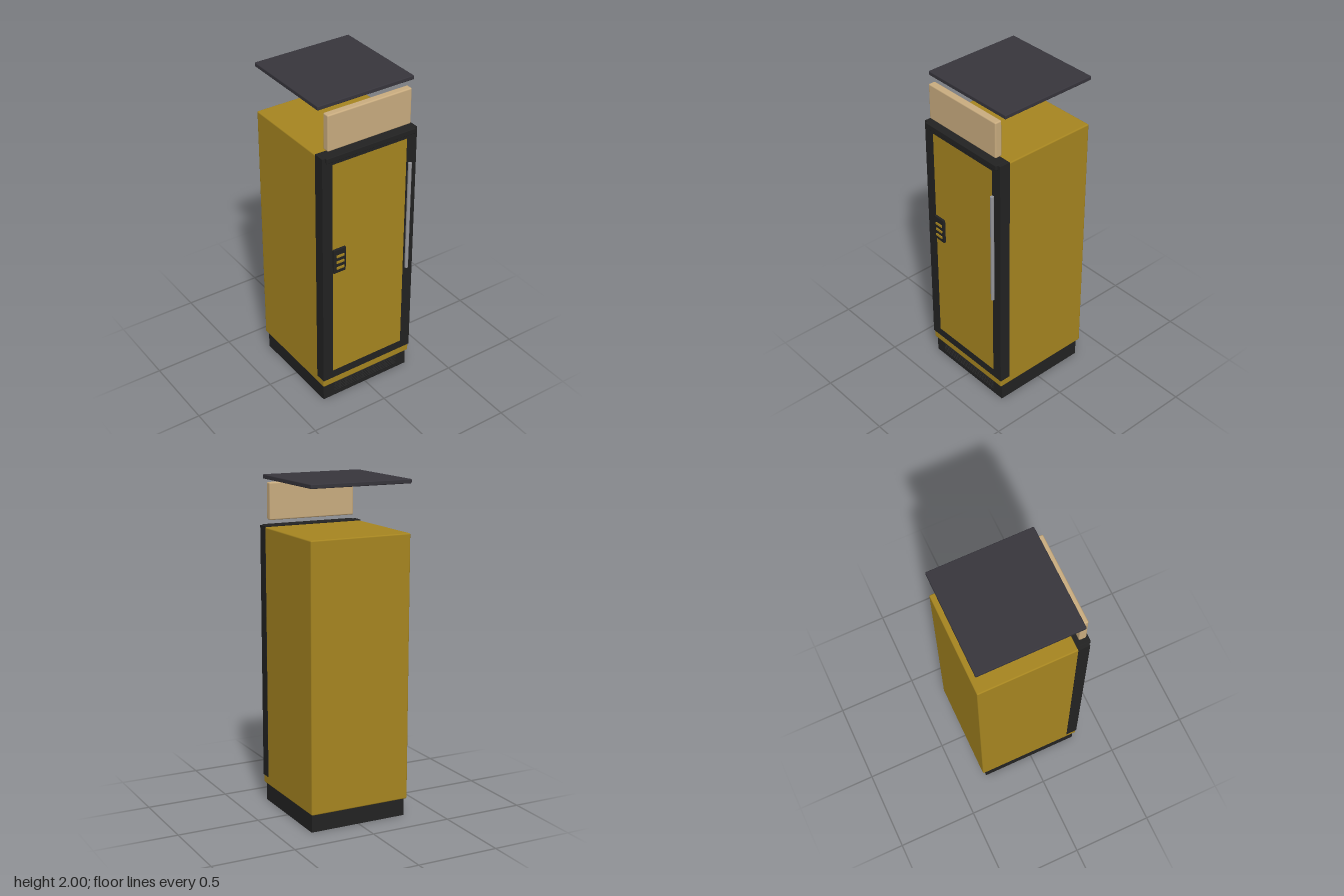
import * as THREE from 'three';
import { RoundedBoxGeometry } from 'three/addons/geometries/RoundedBoxGeometry.js';

const mat = (name, color) => {
  const m = new THREE.MeshStandardMaterial({ color });
  m.name = name;
  return m;
};

export function createModel() {
  const gold = mat('gold enamel', 0xa68520);
  const black = mat('black trim', 0x222222);
  const slate = mat('slate top', 0x37353c);
  const wood = mat('light wood', 0xc9ac7f);
  const steel = mat('brushed steel', 0x949498);

  const model = new THREE.Group();
  model.name = 'cabinet';

  // Box given by its min and max on each axis, with an optional rounded edge
  const box = (name, material, [x0, x1], [y0, y1], [z0, z1], radius = 0, parent = model) => {
    const size = [x1 - x0, y1 - y0, z1 - z0];
    const geometry = radius ? new RoundedBoxGeometry(...size, 2, radius) : new THREE.BoxGeometry(...size);
    const mesh = new THREE.Mesh(geometry, material);
    mesh.name = name;
    mesh.position.set((x0 + x1) / 2, (y0 + y1) / 2, (z0 + z1) / 2);
    parent.add(mesh);
    return mesh;
  };
  const group = (name) => {
    const g = new THREE.Group();
    g.name = name;
    model.add(g);
    return g;
  };

  // Body and plinth
  box('body', gold, [-0.315, 0.315], [0.11, 1.695], [-0.343, 0.316], 0.008);
  box('plinth', black, [-0.305, 0.305], [0, 0.115], [-0.32, 0.3]);

  // Grille louvres on the plinth
  const grille = group('grille');
  for (let i = 0; i < 6; i++) {
    const y = 0.034 + i * 0.012;
    const slat = box('louvre', black, [-0.23, 0.23], [y, y + 0.006], [0.295, 0.307], 0, grille);
    slat.rotation.x = 0.35;
  }

  // Door frame, wrapping the front edges of the body
  const frame = group('doorFrame');
  for (const s of [-1, 1]) {
    const xs = [s * 0.25, s * 0.317].sort((a, b) => a - b);
    box('frameSide', black, xs, [0.16, 1.7], [0.25, 0.319], 0, frame);
  }
  box('frameBottom', black, [-0.25, 0.25], [0.16, 0.213], [0.25, 0.319], 0, frame);
  box('frameTop', black, [-0.25, 0.25], [1.645, 1.7], [0.25, 0.319], 0, frame);
  box('header', black, [-0.297, 0.297], [1.67, 1.702], [0.26, 0.333], 0.004, frame);
  box('doorPanel', gold, [-0.25, 0.25], [0.213, 1.645], [0.31, 0.318]);

  // Control plate with three bars
  const controls = group('controls');
  box('controlPlate', black, [-0.25, -0.167], [0.93, 1.09], [0.31, 0.331], 0.004, controls);
  for (const y of [0.965, 1.005, 1.045])
    box('controlBar', gold, [-0.233, -0.181], [y - 0.007, y + 0.007], [0.329, 0.337], 0, controls);

  // Upright handle on two mounts
  const handle = group('handle');
  const bar = new THREE.Mesh(new THREE.CylinderGeometry(0.011, 0.011, 0.715, 20), steel);
  bar.name = 'handleBar';
  bar.position.set(0.265, 1.1325, 0.333);
  handle.add(bar);
  for (const y of [0.82, 1.44])
    box('handleMount', black, [0.259, 0.271], [y - 0.015, y + 0.015], [0.315, 0.33], 0, handle);

  // Raised panel and lid, floating above the body
  box('upperPanel', wood, [-0.277, 0.276], [1.73, 1.95], [0.27, 0.315], 0.008);
  box('lid', slate, [-0.317, 0.315], [1.975, 2], [-0.345, 0.28], 0.005);

  return model;
}
